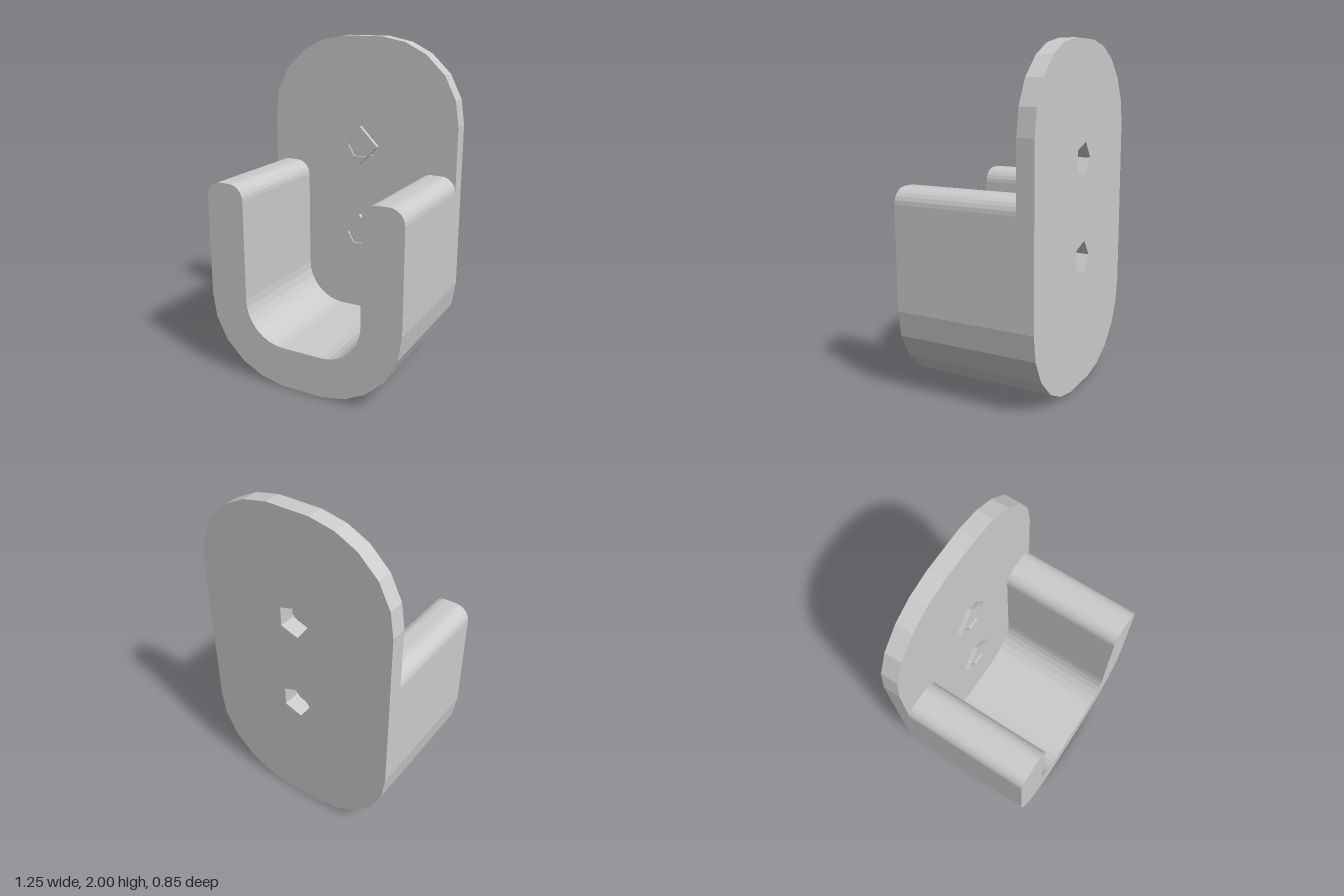
import * as THREE from 'three';

const BACK = -0.425, PLATE_FRONT = -0.325, FRONT = 0.425;
const SCREW_HEIGHTS = [0.77, 1.34];

// Lower right rounded corner, from the bottom edge up to the side
const CORNER = [[0.13, 0], [0.28, 0.03], [0.41, 0.095], [0.53, 0.21], [0.6, 0.35], [0.623, 0.5]];

const toPoints = (list) => list.map(([x, y]) => new THREE.Vector2(x, y));

function polygon(sides, radius, startAngle, cx = 0, cy = 0) {
  return Array.from({ length: sides }, (_, i) => {
    const a = startAngle + (i / sides) * Math.PI * 2;
    return new THREE.Vector2(cx + radius * Math.cos(a), cy + radius * Math.sin(a));
  });
}

function arc(cx, cy, rx, ry, from, to, steps) {
  return Array.from({ length: steps + 1 }, (_, i) => {
    const a = from + ((to - from) * i) / steps;
    return [cx + rx * Math.cos(a), cy + ry * Math.sin(a)];
  });
}

function extrude(name, shape, z0, z1, material) {
  const geometry = new THREE.ExtrudeGeometry(shape, { depth: z1 - z0, bevelEnabled: false });
  geometry.translate(0, 0, z0);
  const mesh = new THREE.Mesh(geometry, material);
  mesh.name = name;
  return mesh;
}

export function createModel() {
  const group = new THREE.Group();
  group.name = 'wallHook';
  const material = new THREE.MeshStandardMaterial({ color: 0xcccccc, flatShading: true });

  // Back plate with two five-sided screw holes
  const rightSide = [...CORNER, ...CORNER.map(([x, y]) => [x, 2 - y]).reverse()];
  const leftSide = rightSide.map(([x, y]) => [-x, y]).reverse();
  const plate = new THREE.Shape(toPoints([...rightSide, ...leftSide]));
  for (const y of SCREW_HEIGHTS) {
    plate.holes.push(new THREE.Path(polygon(5, 0.1, Math.PI, 0, y)));
  }
  group.add(extrude('backPlate', plate, BACK, PLATE_FRONT, material));

  // U-shaped cradle: outer curve, rounded arm tip, inner curve, then mirrored
  const half = [
    ...CORNER,
    ...arc(0.533, 1.11, 0.09, 0.09, 0, Math.PI / 2, 6),
    ...arc(0.468, 1.11, 0.09, 0.09, Math.PI / 2, Math.PI, 6),
    ...arc(0.128, 0.5, 0.25, 0.25, 0, -Math.PI / 2, 8),
  ];
  const mirrored = half.map(([x, y]) => [-x, y]).reverse();
  const cradle = new THREE.Shape(toPoints([...half, ...mirrored]));
  group.add(extrude('cradle', cradle, PLATE_FRONT, FRONT, material));

  // Four-sided screw heads, each with a shallow hexagonal socket
  for (const y of SCREW_HEIGHTS) {
    const screw = new THREE.Group();
    screw.name = 'screwHead';
    const rim = new THREE.Shape(polygon(4, 0.12, 0));
    rim.holes.push(new THREE.Path(polygon(6, 0.08, 0)));
    const floor = new THREE.Shape(polygon(6, 0.08, 0));
    screw.add(extrude('screwRim', rim, PLATE_FRONT, -0.3, material));
    screw.add(extrude('socketFloor', floor, PLATE_FRONT, -0.312, material));
    screw.position.y = y;
    group.add(screw);
  }
  return group;
}
